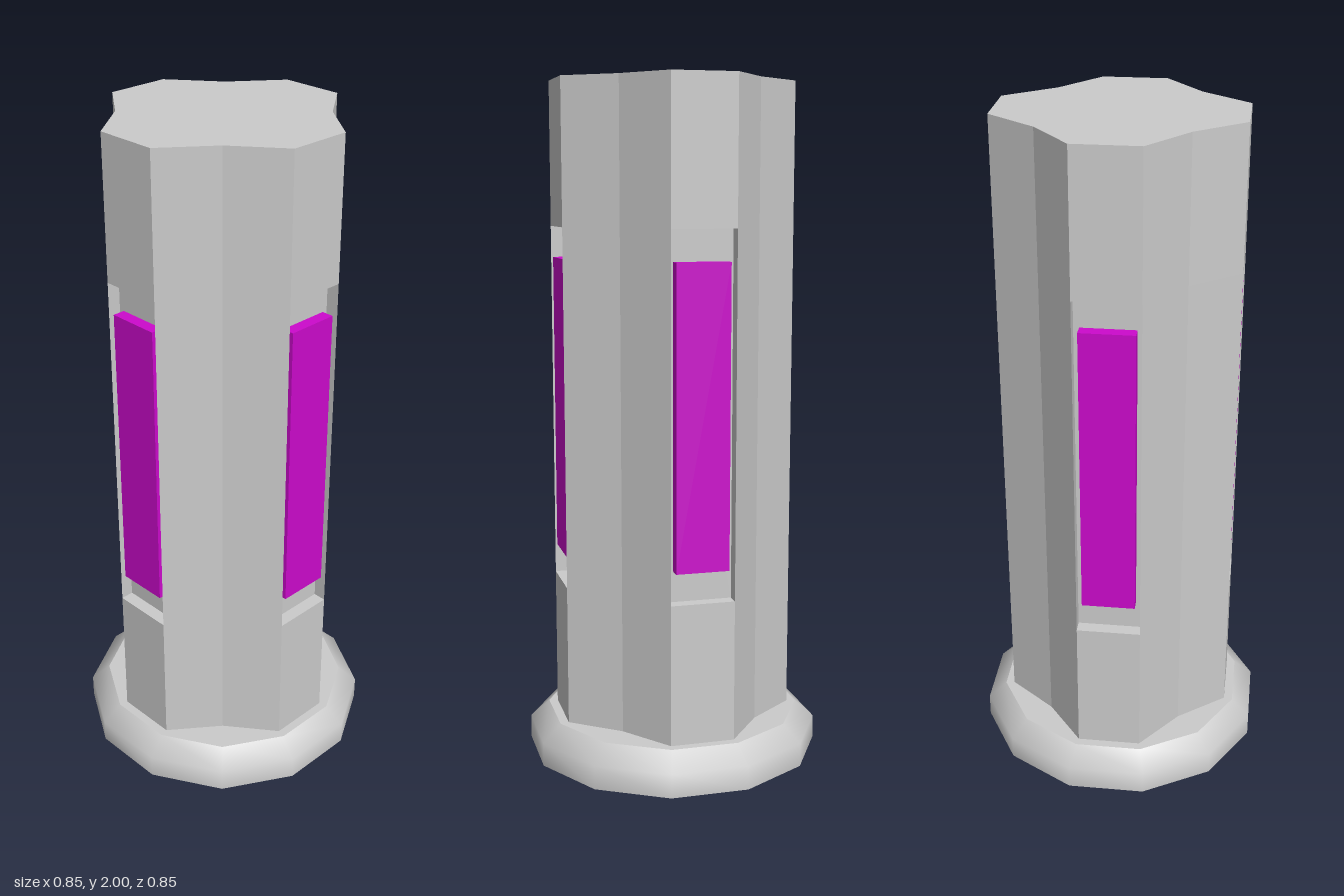
import * as THREE from 'three';

const grey = new THREE.MeshStandardMaterial({ color: 0xcccccc });
const magenta = new THREE.MeshStandardMaterial({ color: 0xcc0acc });

const FACE = 0.344;   // distance of the four main faces from the axis
const HALF = 0.094;   // half width of a main face
const FLOOR = 0.305;  // distance of the recess floors from the axis
const DENT = 0.203;   // slightly inset corner between two main faces

// Column outline, repeated on four sides, optionally with recessed main faces
function outline(recessed) {
  const side = recessed
    ? [[FACE, -HALF], [FLOOR, -HALF], [FLOOR, HALF], [FACE, HALF], [DENT, DENT]]
    : [[FACE, -HALF], [FACE, HALF], [DENT, DENT]];
  const points = [];
  for (let i = 0; i < 4; i++) {
    const turn = i * Math.PI / 2;
    for (const p of side) {
      points.push(new THREE.Vector2(...p).rotateAround(new THREE.Vector2(), turn));
    }
  }
  return new THREE.Shape(points);
}

function columnSection(name, y0, y1, recessed) {
  const geometry = new THREE.ExtrudeGeometry(outline(recessed), { depth: y1 - y0, bevelEnabled: false });
  geometry.rotateX(-Math.PI / 2);
  const mesh = new THREE.Mesh(geometry, grey);
  mesh.name = name;
  mesh.position.y = y0;
  return mesh;
}

// Twelve-sided foot: softly shaded rim with flat caps
function createBase() {
  const base = new THREE.Group();
  base.name = 'base';
  const start = Math.PI / 12;
  const bottomR = 0.44, topR = 0.383, height = 0.12;
  const profile = [[bottomR, 0], [bottomR, 0.07], [topR, height]].map(p => new THREE.Vector2(...p));
  const rim = new THREE.Mesh(new THREE.LatheGeometry(profile, 12, start), grey);
  rim.name = 'baseRim';
  const top = new THREE.Mesh(new THREE.CircleGeometry(topR, 12, start), grey);
  top.name = 'baseTop';
  top.rotation.x = -Math.PI / 2;
  top.position.y = height;
  const bottom = new THREE.Mesh(new THREE.CircleGeometry(bottomR, 12, start), grey);
  bottom.name = 'baseBottom';
  bottom.rotation.x = Math.PI / 2;
  base.add(rim, top, bottom);
  return base;
}

export function createModel() {
  const model = new THREE.Group();
  model.name = 'lampPillar';
  model.add(createBase());

  // Shaft with a recessed middle
  model.add(
    columnSection('lowerColumn', 0.12, 0.535, false),
    columnSection('recessedColumn', 0.535, 1.585, true),
    columnSection('upperColumn', 1.585, 2, false)
  );

  // Coloured panel in each recess
  const depth = 0.036;
  const panelGeometry = new THREE.BoxGeometry(0.156, 0.87, depth);
  panelGeometry.translate(0, 1.06, FLOOR + depth / 2);
  for (let i = 0; i < 4; i++) {
    const panel = new THREE.Mesh(panelGeometry, magenta);
    panel.name = 'lightPanel' + (i + 1);
    panel.rotation.y = i * Math.PI / 2;
    model.add(panel);
  }
  return model;
}
